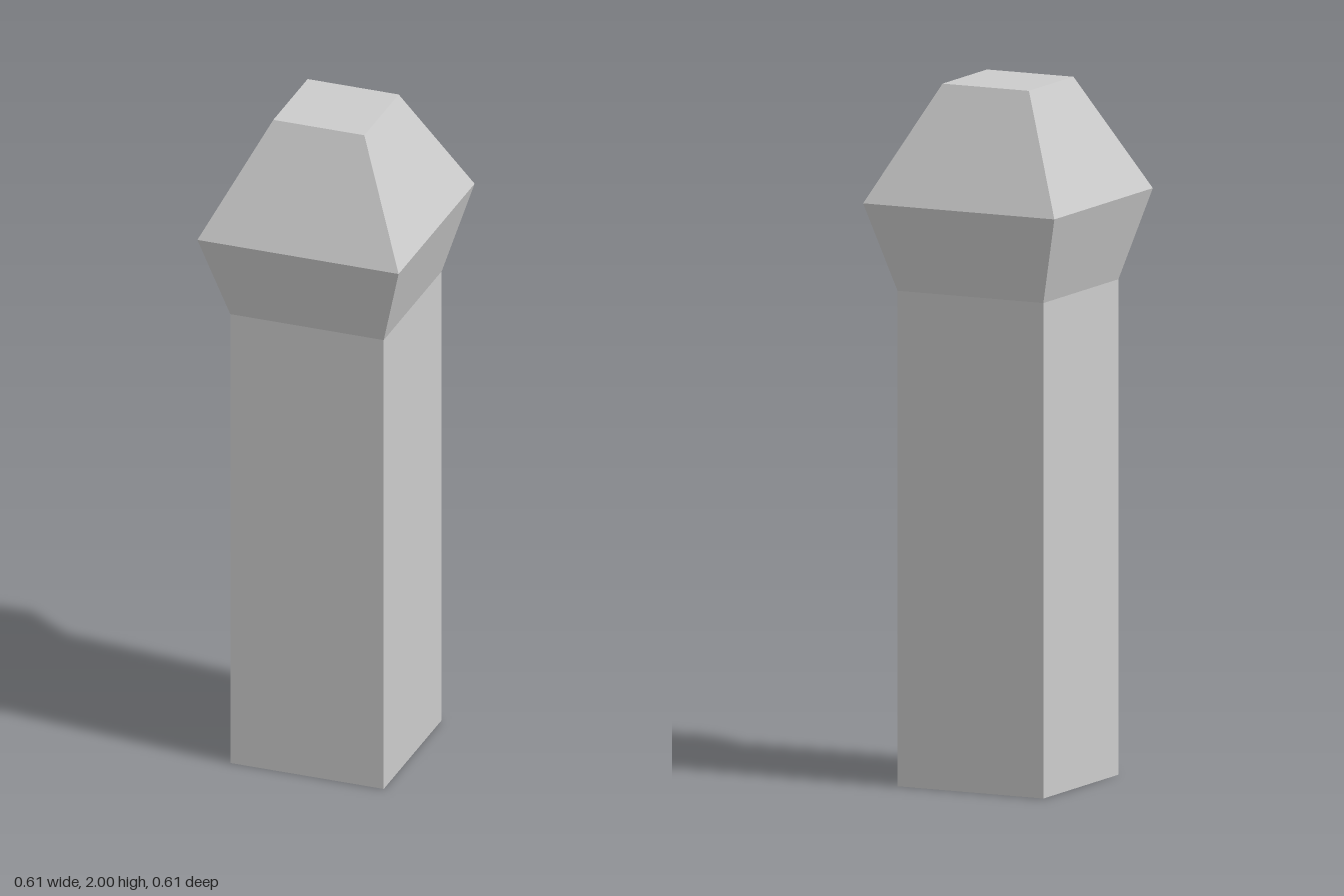
import * as THREE from 'three';

const material = new THREE.MeshStandardMaterial({ color: 0xcccccc, flatShading: true });

// Square section tapering from half-width h0 at y0 to h1 at y1
function squareSection(name, y0, h0, y1, h1, open) {
  const geometry = new THREE.CylinderGeometry(h1 * Math.SQRT2, h0 * Math.SQRT2, y1 - y0, 4, 1, open);
  geometry.rotateY(Math.PI / 4);
  geometry.translate(0, (y0 + y1) / 2, 0);
  const flat = geometry.toNonIndexed();
  flat.computeVertexNormals();
  const mesh = new THREE.Mesh(flat, material);
  mesh.name = name;
  return mesh;
}

// Flat square closing an end; facing is +1 for up, -1 for down
function squareEnd(name, y, half, facing) {
  const geometry = new THREE.PlaneGeometry(half * 2, half * 2);
  geometry.rotateX(-facing * Math.PI / 2);
  geometry.translate(0, y, 0);
  const mesh = new THREE.Mesh(geometry, material);
  mesh.name = name;
  return mesh;
}

export function createModel() {
  const group = new THREE.Group();
  group.name = 'bollard';
  group.add(
    // Straight square post and its underside
    squareSection('post', 0, 0.231, 1.415, 0.231, true),
    squareEnd('postBase', 0, 0.231, -1),
    // Collar flaring outwards above the post
    squareSection('collar', 1.415, 0.231, 1.67, 0.303, true),
    // Cap tapering to a flat top
    squareSection('cap', 1.67, 0.303, 2, 0.137, true),
    squareEnd('capTop', 2, 0.137, 1),
  );
  return group;
}
